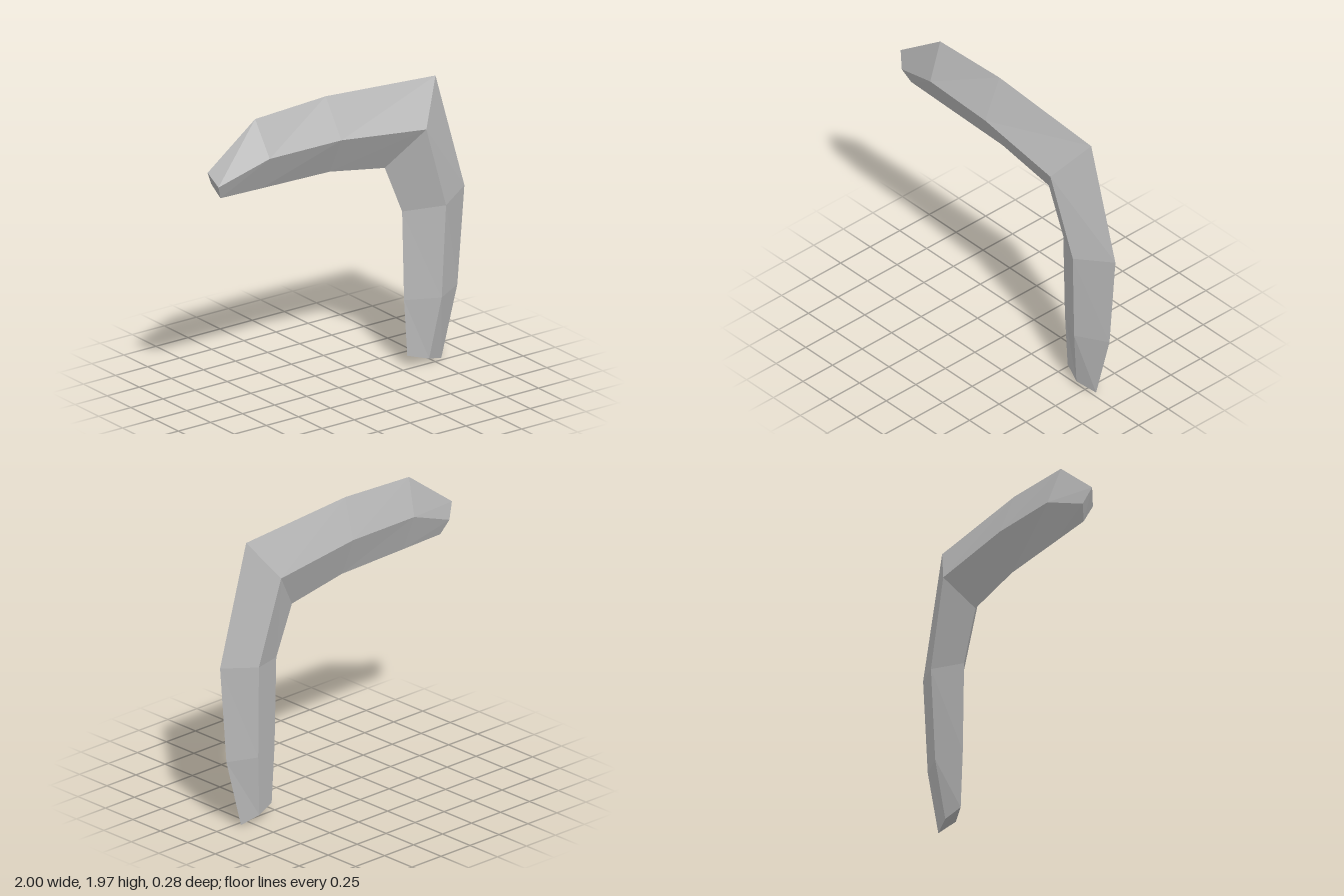
import * as THREE from 'three';

// Stations along the bent blade: outer x,y, ridge x,y, inner x,y, front ridge z, back ridge z
const STATIONS = [
  [-1.0, 1.67, -0.945, 1.57, -0.9, 1.475, 0.01, -0.065],
  [-0.63, 1.945, -0.6, 1.705, -0.58, 1.467, 0.083, -0.11],
  [-0.08, 1.97, -0.06, 1.712, -0.05, 1.455, 0.108, -0.125],
  [0.775, 1.91, 0.58, 1.645, 0.38, 1.38, 0.138, -0.143],
  [1.0, 1.12, 0.755, 1.085, 0.515, 1.055, 0.108, -0.125],
  [0.945, 0.465, 0.74, 0.46, 0.53, 0.455, 0.083, -0.103],
  [0.82, 0.0, 0.69, 0.04, 0.555, 0.075, 0.018, -0.06],
];
const EDGE_Z = -0.03;

// Loft of diamond cross-sections with closed ends
function bladeGeometry() {
  const positions = [];
  const index = [];
  for (const [ox, oy, mx, my, ix, iy, front, back] of STATIONS) {
    positions.push(ox, oy, EDGE_Z, mx, my, front, ix, iy, EDGE_Z, mx, my, back);
  }
  for (let s = 0; s < STATIONS.length - 1; s++) {
    for (let k = 0; k < 4; k++) {
      const a = s * 4 + k;
      const b = s * 4 + (k + 1) % 4;
      index.push(a, b, a + 4, b, b + 4, a + 4);
    }
  }
  const e = (STATIONS.length - 1) * 4;
  index.push(0, 2, 1, 0, 3, 2); // upper tip
  index.push(e, e + 1, e + 2, e, e + 2, e + 3); // lower tip
  const geometry = new THREE.BufferGeometry();
  geometry.setAttribute('position', new THREE.Float32BufferAttribute(positions, 3));
  geometry.setIndex(index);
  const faceted = geometry.toNonIndexed();
  faceted.computeVertexNormals();
  return faceted;
}

export function createModel() {
  const grey = new THREE.MeshStandardMaterial({ color: 0xb8b8b8 });
  grey.name = 'grey';
  grey.flatShading = true;

  const blade = new THREE.Mesh(bladeGeometry(), grey);
  blade.name = 'bentBlade';

  const group = new THREE.Group();
  group.name = 'boomerang';
  group.add(blade);
  return group;
}
